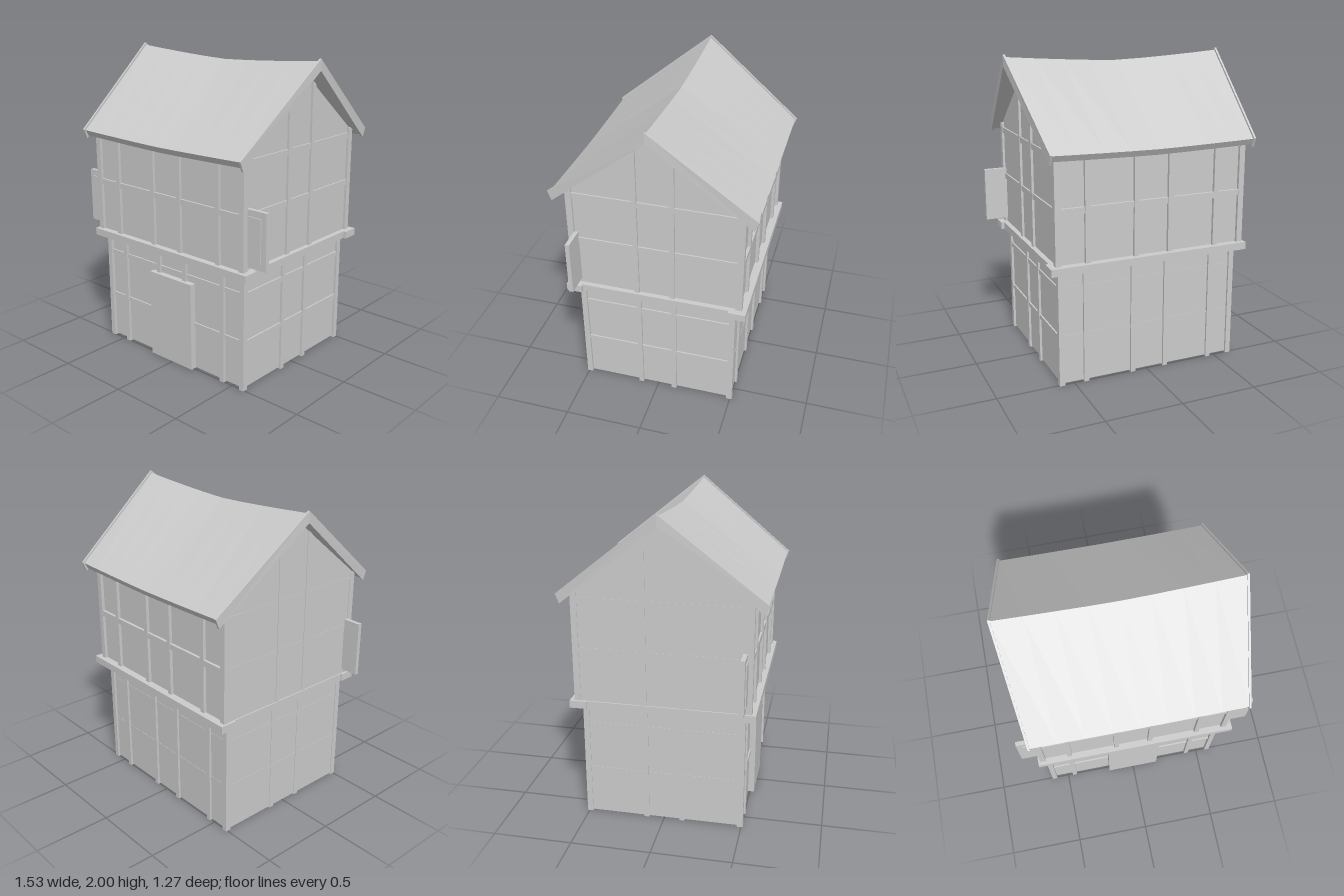
import * as THREE from 'three';

const material = new THREE.MeshStandardMaterial({ color: 0xcccccc, flatShading: true, side: THREE.DoubleSide });

function add(parent, name, geometry) {
  const mesh = new THREE.Mesh(geometry, material);
  mesh.name = name;
  parent.add(mesh);
  return mesh;
}

// Box given by its lower and upper corner on each axis
function block(parent, name, [x0, x1], [y0, y1], [z0, z1]) {
  const g = new THREE.BoxGeometry(x1 - x0, y1 - y0, z1 - z0);
  g.translate((x0 + x1) / 2, (y0 + y1) / 2, (z0 + z1) / 2);
  return add(parent, name, g);
}

// Joins chevron sections (six points each, running along +x) into a closed solid
function loftChevrons(sections) {
  const n = 6, index = [], last = (sections.length - 1) * n;
  for (let i = 0; i < sections.length - 1; i++) {
    for (let j = 0; j < n; j++) {
      const a = i * n + j, b = i * n + (j + 1) % n;
      index.push(a, a + n, b, b, a + n, b + n);
    }
  }
  for (const [a, b, c, d] of [[0, 1, 4, 5], [1, 2, 3, 4]]) {
    index.push(a, b, c, a, c, d);
    index.push(last + a, last + c, last + b, last + a, last + d, last + c);
  }
  const g = new THREE.BufferGeometry();
  g.setAttribute('position', new THREE.Float32BufferAttribute(sections.flat(2), 3));
  g.setIndex(index);
  const flat = g.toNonIndexed();
  flat.computeVertexNormals();
  return flat;
}

// One chevron: x, y at the ridge and eave, upper and lower surface
function chevron(xRidge, xEave, ridgeTop, eaveTop, zTop, ridgeLow, eaveLow, zLow) {
  return [
    [xEave, eaveTop, zTop], [xRidge, ridgeTop, 0], [xEave, eaveTop, -zTop],
    [xEave, eaveLow, -zLow], [xRidge, ridgeLow, 0], [xEave, eaveLow, zLow],
  ];
}

// Four thin walls around a rectangle
function walls(parent, [x0, x1], y, [z0, z1]) {
  const t = 0.015;
  block(parent, 'frontWall', [x0, x1], y, [z1 - t, z1]);
  block(parent, 'backWall', [x0, x1], y, [z0, z0 + t]);
  block(parent, 'leftWall', [x1 - t, x1], y, [z0, z1]);
  block(parent, 'rightWall', [x0, x0 + t], y, [z0, z1]);
}

const around = (c) => [c - 0.016, c + 0.016];
const frontPosts = [-0.45, -0.13, 0.10, 0.42];
const sidePosts = [-0.113, 0.118];

function lowerStorey() {
  const g = new THREE.Group();
  g.name = 'lowerStorey';
  walls(g, [-0.617, 0.585], [0.01, 0.76], [-0.498, 0.49]);

  // Corner posts
  for (const x of [[-0.622, -0.587], [0.565, 0.6]])
    for (const z of [[-0.512, -0.475], [0.473, 0.51]]) block(g, 'cornerPost', x, [0, 0.76], z);

  // Posts along the front, back and sides; the middle front ones stop at the door
  for (const x of frontPosts) {
    block(g, 'frontPost', around(x), [Math.abs(x) < 0.2 ? 0.59 : 0, 0.76], [0.465, 0.508]);
    block(g, 'backPost', around(x), [0, 0.76], [-0.512, -0.468]);
  }
  for (const z of sidePosts) {
    block(g, 'leftPost', [0.555, 0.6], [0, 0.76], around(z));
    block(g, 'rightPost', [-0.621, -0.58], [0, 0.76], around(z));
  }

  // Horizontal rails
  for (const y of [[0.3, 0.33], [0.615, 0.645]]) {
    block(g, 'frontRail', [-0.59, 0.57], y, [0.46, 0.5]);
    block(g, 'backRail', [-0.59, 0.57], y, [-0.5, -0.46]);
    block(g, 'leftRail', [0.555, 0.595], y, [-0.48, 0.48]);
    block(g, 'rightRail', [-0.619, -0.58], y, [-0.48, 0.48]);
  }
  block(g, 'door', [-0.185, 0.18], [0.005, 0.595], [0.47, 0.53]);
  return g;
}

function jettyBeams() {
  const g = new THREE.Group();
  g.name = 'jettyBeams';
  block(g, 'frontBeam', [-0.665, 0.665], [0.752, 0.8], [0.475, 0.575]);
  block(g, 'backBeam', [-0.665, 0.665], [0.752, 0.8], [-0.585, -0.475]);
  block(g, 'floor', [-0.655, 0.645], [0.752, 0.8], [-0.475, 0.475]);
  return g;
}

function upperStorey() {
  const g = new THREE.Group();
  g.name = 'upperStorey';
  walls(g, [-0.647, 0.612], [0.79, 1.47], [-0.535, 0.532]);

  // Gable triangles
  const gable = new THREE.Shape([
    new THREE.Vector2(-0.534, 1.46), new THREE.Vector2(0.534, 1.46),
    new THREE.Vector2(0.534, 1.5), new THREE.Vector2(0, 1.93), new THREE.Vector2(-0.534, 1.5),
  ]);
  for (const [name, x] of [['leftGable', 0.597], ['rightGable', -0.647]]) {
    const geo = new THREE.ExtrudeGeometry(gable, { depth: 0.015, bevelEnabled: false });
    add(g, name, geo.rotateY(Math.PI / 2).translate(x, 0, 0));
  }

  // Posts
  for (const x of [[-0.651, -0.613], [0.59, 0.627]])
    for (const z of [[-0.555, -0.515], [0.51, 0.55]]) block(g, 'cornerPost', x, [0.79, 1.5], z);
  for (const x of frontPosts) {
    block(g, 'frontPost', around(x), [0.79, 1.465], [0.51, 0.55]);
    block(g, 'backPost', around(x), [0.79, 1.465], [-0.555, -0.515]);
  }
  for (const z of sidePosts) {
    block(g, 'leftPost', [0.585, 0.627], [0.79, 1.845], around(z));
    block(g, 'rightPost', [-0.651, -0.61], [0.79, 1.845], around(z));
  }

  // Horizontal rails
  for (const y of [[1.112, 1.15], [1.43, 1.468]]) {
    block(g, 'frontRail', [-0.615, 0.592], y, [0.505, 0.545]);
    block(g, 'backRail', [-0.615, 0.592], y, [-0.553, -0.51]);
    block(g, 'leftRail', [0.58, 0.622], y, [-0.515, 0.51]);
    block(g, 'rightRail', [-0.649, -0.61], y, [-0.515, 0.51]);
  }

  // Side boards by the front corners
  for (const s of [-1, 1]) {
    const span = (a, b) => (s > 0 ? [a, b] : [-b, -a]);
    block(g, 'sideBoard', span(0.6, 0.765), [0.83, 1.185], [0.487, 0.514]);
    block(g, 'sideBoardPanel', span(0.635, 0.728), [0.87, 1.145], [0.51, 0.521]);
  }
  return g;
}

function roof() {
  const g = new THREE.Group();
  g.name = 'roof';

  // Sagging roof covering
  const sections = [], steps = 8;
  for (let i = 0; i <= steps; i++) {
    const t = (i / steps) * 2 - 1, k = Math.abs(t) ** 1.35;
    const ridge = 1.943 + 0.042 * k, eave = 1.472 + 0.013 * k;
    sections.push(chevron(0.735 * t, 0.665 * t, ridge, eave, 0.625, ridge - 0.046, eave - 0.038, 0.603));
  }
  add(g, 'roofCovering', loftChevrons(sections));

  // Leaning boards along both gable edges
  for (const s of [-1, 1]) {
    const ends = [[0.731, 0.66], [0.745, 0.674]].map(([r, e]) =>
      chevron(s * r, s * e, 2, 1.49, 0.637, 1.93, 1.43, 0.613));
    add(g, 'bargeBoard', loftChevrons(s > 0 ? ends : ends.reverse()));
  }
  return g;
}

export function createModel() {
  const model = new THREE.Group();
  model.name = 'timberFrameHouse';
  model.add(lowerStorey(), jettyBeams(), upperStorey(), roof());
  return model;
}
